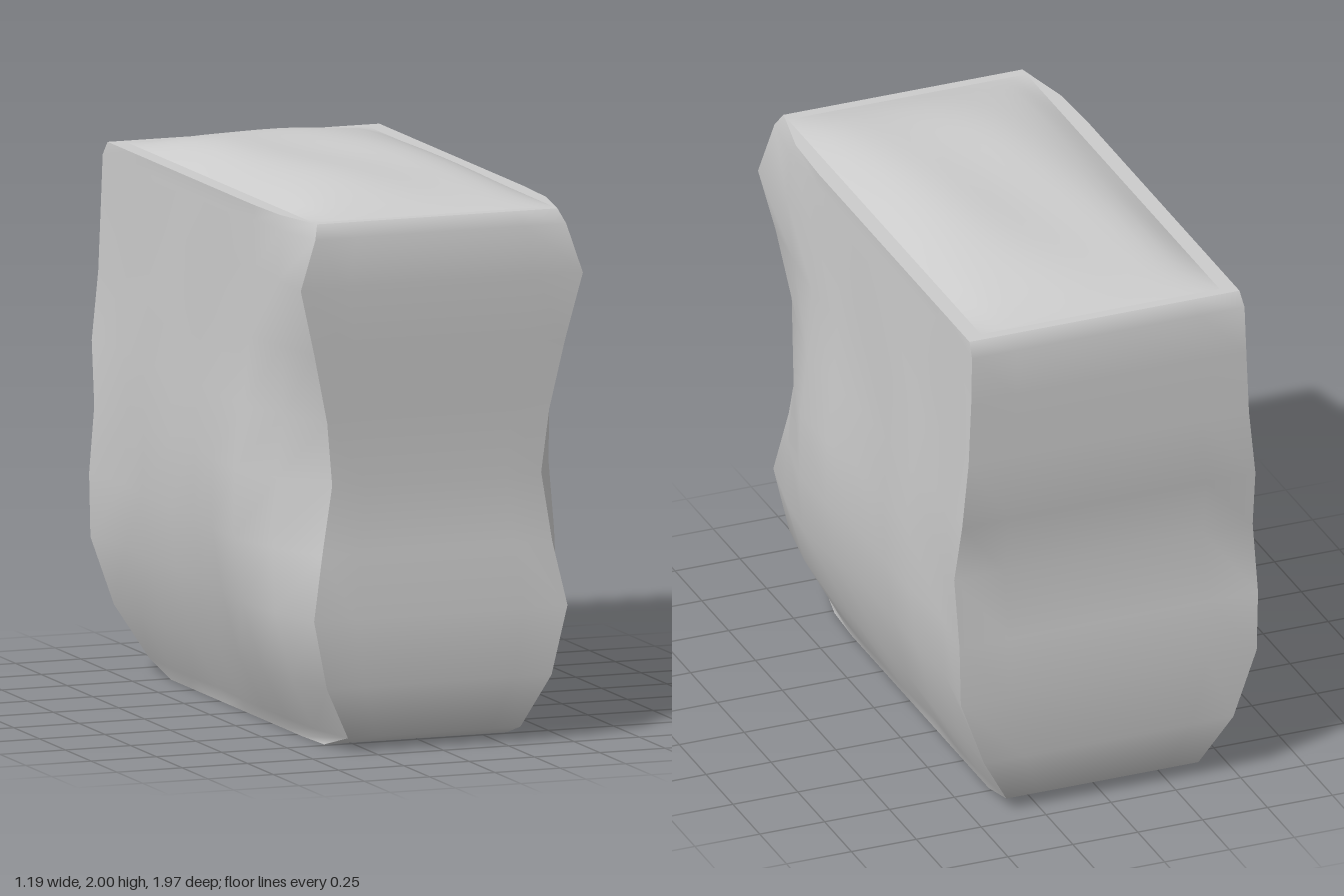
import * as THREE from 'three';

const material = new THREE.MeshStandardMaterial({ color: 0xcccccc, roughness: 0.9 });

// Body rows: height, front depth, back depth, then half-widths from back to front
const rows = [
  [0.00, 0.73, 0.73, 0.36, 0.36, 0.36, 0.36, 0.36, 0.36, 0.36, 0.36, 0.35],
  [0.05, 0.91, 0.92, 0.37, 0.38, 0.38, 0.37, 0.38, 0.38, 0.38, 0.37, 0.33],
  [0.24, 0.96, 0.98, 0.48, 0.47, 0.48, 0.47, 0.47, 0.48, 0.49, 0.47, 0.43],
  [0.49, 0.975, 0.98, 0.57, 0.53, 0.54, 0.53, 0.53, 0.55, 0.57, 0.54, 0.485],
  [0.72, 0.94, 0.98, 0.575, 0.54, 0.565, 0.56, 0.56, 0.585, 0.595, 0.54, 0.44],
  [0.97, 0.935, 0.93, 0.575, 0.54, 0.57, 0.56, 0.56, 0.585, 0.59, 0.52, 0.40],
  [1.20, 0.95, 0.98, 0.565, 0.54, 0.56, 0.55, 0.545, 0.56, 0.56, 0.50, 0.425],
  [1.45, 0.965, 0.98, 0.54, 0.53, 0.54, 0.54, 0.53, 0.54, 0.54, 0.51, 0.48],
  [1.69, 0.985, 0.98, 0.53, 0.53, 0.53, 0.53, 0.53, 0.53, 0.53, 0.53, 0.54],
  [1.87, 0.975, 0.975, 0.525, 0.52, 0.52, 0.52, 0.52, 0.52, 0.52, 0.52, 0.48],
  [1.92, 0.94, 0.94, 0.52, 0.52, 0.52, 0.52, 0.52, 0.52, 0.52, 0.51, 0.46],
];
const COLS = 9;

// Point on the side of the body; sign picks left or right
function sidePoint(i, j, sign) {
  const [y, front, back, ...widths] = rows[i];
  const t = j / (COLS - 1) * 2 - 1;
  return [sign * widths[j], y, t * (t > 0 ? front : back)];
}

// Smooth surface over a grid of points, facing (row direction) x (column direction)
function gridGeometry(nRows, nCols, point, flip = false) {
  const positions = [], index = [];
  for (let i = 0; i < nRows; i++)
    for (let j = 0; j < nCols; j++) positions.push(...point(i, j));
  for (let i = 0; i < nRows - 1; i++)
    for (let j = 0; j < nCols - 1; j++) {
      const a = i * nCols + j, b = a + nCols, c = b + 1, d = a + 1;
      if (flip) index.push(a, c, b, a, d, c);
      else index.push(a, b, c, a, c, d);
    }
  const geometry = new THREE.BufferGeometry();
  geometry.setAttribute('position', new THREE.Float32BufferAttribute(positions, 3));
  geometry.setIndex(index);
  geometry.computeVertexNormals();
  return geometry;
}

export function createModel() {
  const group = new THREE.Group();
  const add = (name, geometry) => {
    const mesh = new THREE.Mesh(geometry, material);
    mesh.name = name;
    group.add(mesh);
    return mesh;
  };

  // Bulging left and right sides
  for (const sign of [1, -1])
    add(sign > 0 ? 'leftSide' : 'rightSide',
      gridGeometry(rows.length, COLS, (i, j) => sidePoint(i, j, sign), sign < 0));

  // One continuous band: down the front, under the bottom, up the back
  const path = [];
  for (let i = rows.length - 1; i >= 0; i--) path.push([i, COLS - 1]);
  for (let j = COLS - 2; j > 0; j--) path.push([0, j]);
  for (let i = 0; i < rows.length; i++) path.push([i, 0]);
  const across = 6;
  add('frontBottomBackBand', gridGeometry(path.length, across + 1, (k, j) => {
    const [x, y, z] = sidePoint(...path[k], 1);
    return [x * (j / across * 2 - 1), y, z];
  }));

  // Flat rim around the top opening
  const inX = 0.46, inZ = 0.9, rimY = 1.92;
  const outline = [];
  for (let j = 0; j < COLS; j++) outline.push(sidePoint(rows.length - 1, j, 1));
  for (let j = COLS - 1; j >= 0; j--) outline.push(sidePoint(rows.length - 1, j, -1));
  const rimShape = new THREE.Shape(outline.map(([x, , z]) => new THREE.Vector2(x, -z)));
  rimShape.holes.push(new THREE.Path([
    [-inX, -inZ], [inX, -inZ], [inX, inZ], [-inX, inZ],
  ].map(([x, y]) => new THREE.Vector2(x, y))));
  const rim = add('topRim', new THREE.ShapeGeometry(rimShape).rotateX(-Math.PI / 2));
  rim.position.y = rimY;

  // Softly domed, slightly lumpy cushion filling the opening
  const nz = 25, nx = 17;
  add('topCushion', gridGeometry(nz, nx, (i, j) => {
    const u = j / (nx - 1) * 2 - 1, v = i / (nz - 1) * 2 - 1;
    const dome = (1 - u ** 4) * (1 - v ** 4);
    const lumps = 0.005 * Math.sin(5 * v + 2 * u) - 0.004 * Math.cos(6 * u - 3 * v);
    return [u * inX, rimY + dome * (0.076 + lumps), v * inZ];
  }));

  return group;
}
